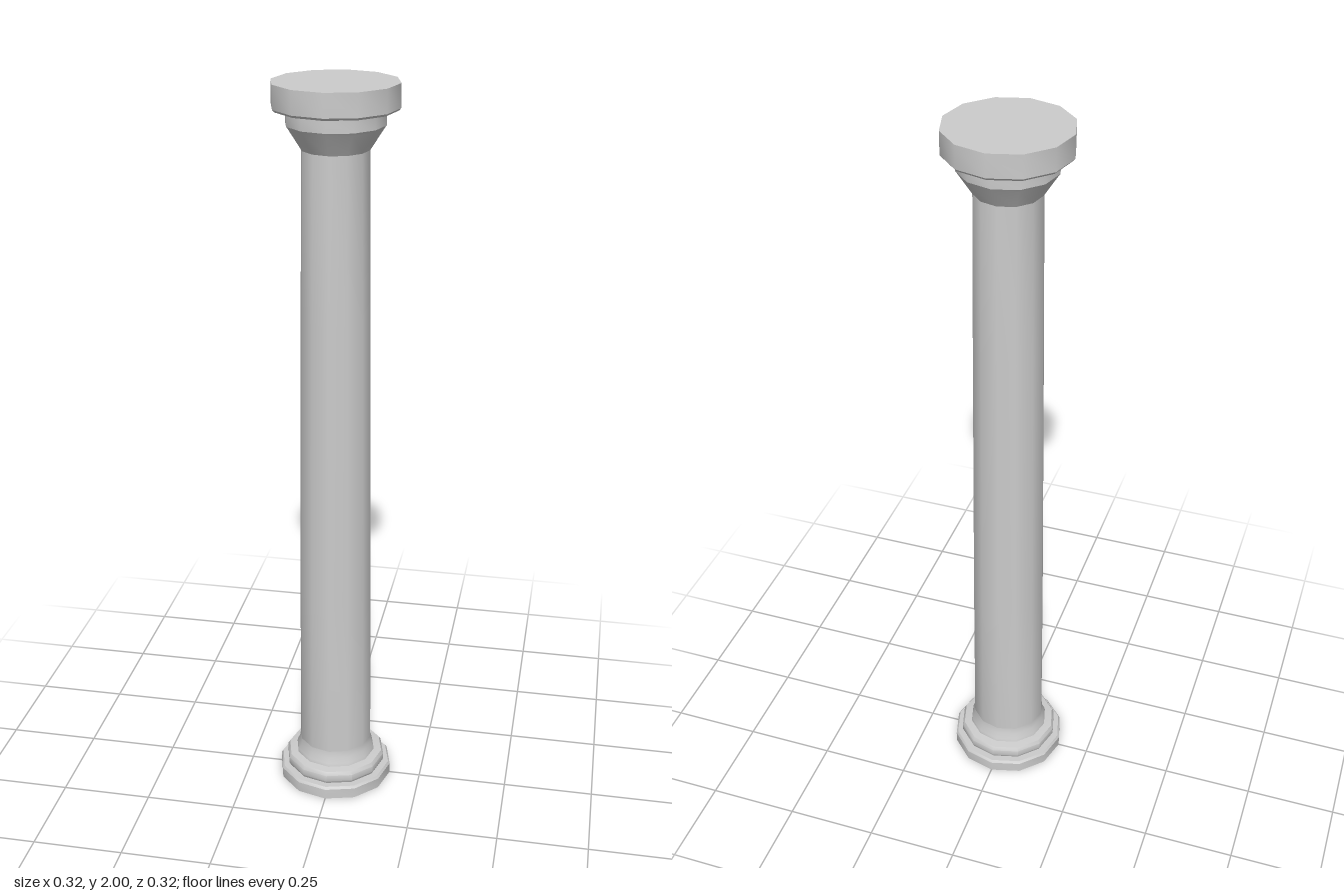
import * as THREE from 'three';
import { toCreasedNormals } from 'three/addons/utils/BufferGeometryUtils.js';

const SIDES = 12;

export function createModel() {
  const group = new THREE.Group();
  const material = new THREE.MeshStandardMaterial({ color: 0xcccccc, side: THREE.DoubleSide });

  const add = (name, geometry) => {
    const mesh = new THREE.Mesh(geometry, material);
    mesh.name = name;
    group.add(mesh);
    return mesh;
  };

  // Turned part from [radius, height] pairs, smooth around but sharp at the steps
  const turned = (name, profile) => {
    const points = profile.map(([r, y]) => new THREE.Vector2(r, y));
    add(name, toCreasedNormals(new THREE.LatheGeometry(points, SIDES), 0.6));
  };

  // Stepped base, open underneath
  turned('base', [
    [0.162, 0], [0.162, 0.03], [0.157, 0.037], [0.138, 0.037],
    [0.142, 0.045], [0.142, 0.063], [0.136, 0.073], [0.114, 0.076],
    [0.112, 0.085], [0.105, 0.1], [0.103, 0.12],
  ]);

  // Gently tapering shaft
  turned('shaft', [
    [0.103, 0.12], [0.1, 0.6], [0.096, 1.0], [0.092, 1.4], [0.087, 1.835],
  ]);

  // Flared capital and its top block
  turned('capital', [
    [0.087, 1.835], [0.122, 1.89], [0.127, 1.897], [0.127, 1.928], [0.122, 1.934],
  ]);
  turned('abacus', [[0.122, 1.934], [0.157, 1.934], [0.162, 1.94], [0.162, 2]]);

  const top = add('abacusTop', new THREE.CircleGeometry(0.162, SIDES).rotateX(-Math.PI / 2));
  top.position.y = 2;

  return group;
}
